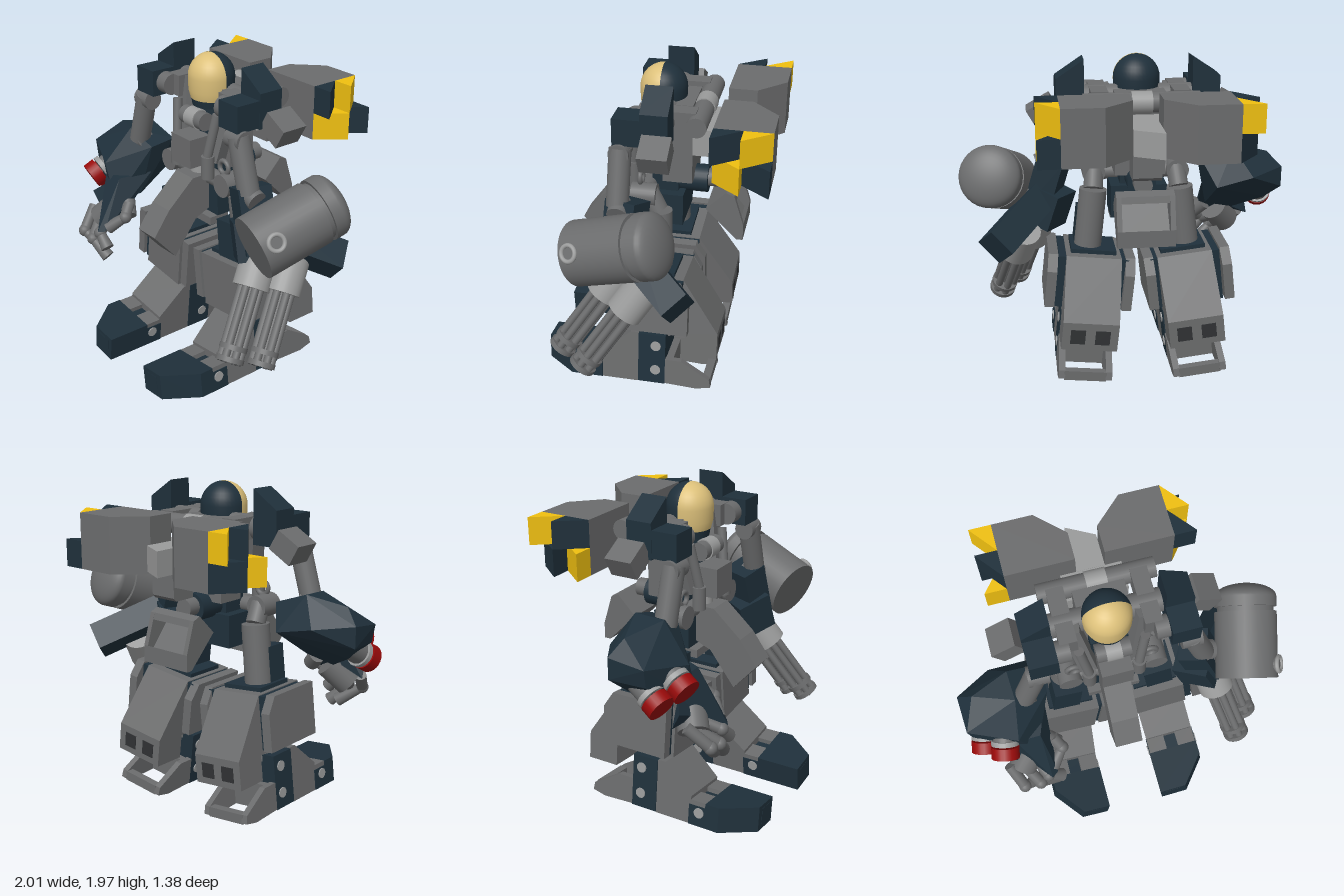
import * as THREE from 'three';
import { ConvexGeometry } from 'three/addons/geometries/ConvexGeometry.js';

const mat = (color) => new THREE.MeshStandardMaterial({ color });
const GREY = mat(0x6b6c6d), LIGHT = mat(0x9a9b9b), NAVY = mat(0x1f303b), TAN = mat(0xdcc07a);
const YELLOW = mat(0xf0c010), RED = mat(0x980a0a), DARK = mat(0x303234);
const V = (a) => new THREE.Vector3(...a);
const UP = new THREE.Vector3(0, 1, 0);
const C = -0.06; // middle plane of the body

function add(parent, name, material, geo) {
  const m = new THREE.Mesh(geo, material);
  m.name = name;
  parent.add(m);
  return m;
}
function group(parent, name) {
  const g = new THREE.Group();
  g.name = name;
  parent.add(g);
  return g;
}
function box(parent, name, material, pos, size, rot = [0, 0, 0]) {
  const m = add(parent, name, material, new THREE.BoxGeometry(...size));
  m.position.set(...pos);
  m.rotation.set(...rot);
  return m;
}
// Round bar between two points
function rod(parent, name, material, a, b, r, r2 = r, sides = 24) {
  const d = V(b).sub(V(a));
  const m = add(parent, name, material, new THREE.CylinderGeometry(r2, r, d.length(), sides));
  m.position.copy(V(a)).addScaledVector(d, 0.5);
  m.quaternion.setFromUnitVectors(UP, d.normalize());
  return m;
}
// Box whose long side runs from a to b
function beam(parent, name, material, a, b, w, d) {
  const m = rod(parent, name, material, a, b, 1);
  m.geometry = new THREE.BoxGeometry(w, V(a).distanceTo(V(b)), d);
  return m;
}
// Group whose +y runs from a towards b
function axisGroup(parent, name, a, b) {
  const g = group(parent, name);
  g.position.set(...a);
  g.quaternion.setFromUnitVectors(UP, V(b).sub(V(a)).normalize());
  return g;
}
const extrude = (pts, depth) =>
  new THREE.ExtrudeGeometry(new THREE.Shape(pts.map((p) => new THREE.Vector2(...p))), { depth, bevelEnabled: false });
// Prisms: side outline (z,y) along x, plan outline (x,z) along y, front outline (x,y) along z
const sidePrism = (p, n, m, pts, x0, x1) =>
  add(p, n, m, extrude(pts, Math.abs(x1 - x0)).rotateY(-Math.PI / 2).translate(Math.max(x0, x1), 0, 0));
const planPrism = (p, n, m, pts, y0, y1) =>
  add(p, n, m, extrude(pts, y1 - y0).rotateX(Math.PI / 2).translate(0, y1, 0));
const frontPrism = (p, n, m, pts, z0, z1) => add(p, n, m, extrude(pts, z1 - z0).translate(0, 0, z0));

function buildLeg(root, s) {
  const g = group(root, s > 0 ? 'leftLeg' : 'rightLeg');
  g.position.set(C + s * 0.36, 0.02, 0);
  g.rotation.z = s * 0.11;
  // Foot
  planPrism(g, 'toe', NAVY, [[-0.165, 0.41], [-0.165, 0.69], [0.01, 0.69], [0.165, 0.5], [0.165, 0.41]].map(([u, z]) => [s * u, z]), 0, 0.16);
  box(g, 'toeHeel', NAVY, [0, 0.065, 0.355], [0.33, 0.13, 0.11]);
  for (const k of [-1, 1]) box(g, 'toeHinge', GREY, [k * 0.1, 0.13, 0.355], [0.12, 0.06, 0.11]);
  box(g, 'toeSocket', NAVY, [-s * 0.08, 0.085, 0.687], [0.1, 0.1, 0.01]);
  sidePrism(g, 'instep', GREY, [[0.31, 0], [0.31, 0.18], [0.12, 0.35], [0.07, 0.35], [0.07, 0]], -0.16, 0.16);
  box(g, 'ankle', NAVY, [0, 0.175, -0.015], [0.33, 0.34, 0.17]);
  for (const [y, z] of [[0.09, 0.37], [0.1, -0.04], [0.27, -0.04]])
    rod(g, 'anklePin', LIGHT, [-0.172, y, z], [0.172, y, z], 0.032);
  for (const k of [-1, 1])
    sidePrism(g, 'heelRail', GREY, [[-0.1, 0.01], [-0.1, 0.18], [-0.2, 0.18], [-0.38, 0.07], [-0.39, 0.02], [-0.3, 0]], k * 0.125, k * 0.165);
  box(g, 'heelBar', GREY, [0, 0.04, -0.36], [0.26, 0.06, 0.05]);
  box(g, 'heelRoot', GREY, [0, 0.09, -0.12], [0.26, 0.16, 0.05]);
  // Shin
  sidePrism(g, 'shin', GREY, [[0.18, 0.4], [0.18, 0.75], [-0.2, 0.75], [-0.42, 0.41], [-0.42, 0.235], [-0.22, 0.235], [-0.22, 0.39]], -0.17, 0.17);
  box(g, 'shinCore', NAVY, [0, 0.58, -0.02], [0.43, 0.33, 0.36]);
  for (const k of [-1, 1]) {
    const outer = k === s ? 0.28 : 0.255;
    sidePrism(g, 'shinPanel', GREY, [[0.18, 0.43], [0.18, 0.755], [-0.19, 0.755], [-0.25, 0.66], [-0.25, 0.43]], k * (outer - 0.06), k * outer);
    box(g, 'calfSocket', DARK, [k * 0.075, 0.32, -0.418], [0.09, 0.09, 0.01]);
  }
  rod(g, 'shinAxle', GREY, [0, 0.3, -0.04], [0, 0.45, -0.04], 0.1);
  // Thigh
  box(g, 'kneeCap', NAVY, [0, 0.755, -0.01], [0.28, 0.04, 0.26]);
  box(g, 'thigh', NAVY, [s * 0.03, 0.85, 0.06], [0.17, 0.28, 0.14]);
  rod(g, 'thighJoint', GREY, [s * 0.03, 0.76, -0.02], [s * 0.03, 1.13, -0.01], 0.085);
  rod(g, 'hipStem', GREY, [s * 0.03, 1.13, -0.01], [s * 0.03, 1.24, 0.05], 0.06);
}

function buildPelvis(root) {
  const g = group(root, 'pelvis');
  g.position.x = C;
  rod(g, 'hipBar', GREY, [-0.26, 1.23, 0.08], [0.26, 1.23, 0.08], 0.05);
  box(g, 'pelvisBlock', NAVY, [0, 1.1, -0.02], [0.34, 0.2, 0.24]);
  box(g, 'lowerPlate', GREY, [0, 0.97, 0.08], [0.32, 0.05, 0.14]);
  sidePrism(g, 'frontGuard', GREY, [[0.08, 1.25], [0.22, 1.25], [0.4, 1.09], [0.51, 0.94], [0.36, 0.77], [0.2, 0.98], [0.08, 1.03]], -0.083, 0.083);
  rod(g, 'rearSpool', NAVY, [0, 1.25, -0.1], [0, 1.25, -0.27], 0.085);
  rod(g, 'rearHinge', GREY, [0, 1.26, -0.27], [0, 1.26, -0.35], 0.055);
  // Open rear skirt
  for (const k of [-1, 1])
    sidePrism(g, 'skirtCheek', GREY, [[-0.4, 1.25], [-0.45, 1.23], [-0.51, 1.04], [-0.51, 0.94], [-0.47, 0.94], [-0.28, 1.13]], k * 0.14, k * 0.17);
  sidePrism(g, 'skirtTop', GREY, [[-0.4, 1.25], [-0.45, 1.23], [-0.46, 1.19], [-0.33, 1.18]], -0.14, 0.14);
  sidePrism(g, 'skirtEdge', GREY, [[-0.51, 1.04], [-0.51, 0.94], [-0.47, 0.94], [-0.45, 0.97]], -0.14, 0.14);
  sidePrism(g, 'skirtFloor', GREY, [[-0.28, 1.13], [-0.33, 1.18], [-0.48, 1.0], [-0.47, 0.94]], -0.14, 0.14);
  for (const s of [-1, 1]) {
    rod(g, 'hipBall', GREY, [s * 0.26, 1.24, 0], [s * 0.26, 1.24, 0.15], 0.07);
    const ring = add(g, 'hipRing', GREY, new THREE.TorusGeometry(0.04, 0.015, 10, 20));
    ring.position.set(s * 0.23, 1.34, 0.1);
  }
}

function buildTorso(root) {
  const g = group(root, 'torso');
  g.position.x = C;
  box(g, 'spine', GREY, [0, 1.53, -0.1], [0.3, 0.5, 0.18]);
  box(g, 'belly', NAVY, [0, 1.38, -0.02], [0.22, 0.38, 0.16]);
  box(g, 'chestPlate', GREY, [0, 1.41, 0.17], [0.185, 0.18, 0.15]);
  rod(g, 'chestRoller', LIGHT, [-0.045, 1.59, 0.13], [0.045, 1.59, 0.13], 0.062);
  rod(g, 'chestBar', GREY, [-0.1, 1.59, 0.13], [0.1, 1.59, 0.13], 0.055);
  rod(g, 'abdomen', LIGHT, [0, 1.2, 0.1], [0, 1.34, 0.1], 0.06);
  rod(g, 'backBar', GREY, [-0.34, 1.73, -0.24], [0.34, 1.73, -0.24], 0.06);
  rod(g, 'backCollar', LIGHT, [-0.06, 1.73, -0.24], [0.06, 1.73, -0.24], 0.066);
  rod(g, 'neck', NAVY, [0, 1.5, 0], [0, 1.68, 0], 0.1);
  for (const s of [-1, 1]) {
    beam(g, 'chestStrut', GREY, [s * 0.21, 1.78, 0.02], [s * 0.14, 1.36, 0.1], 0.08, 0.1);
    rod(g, 'chestPiston', GREY, [s * 0.15, 1.26, 0.16], [s * 0.15, 1.4, 0.16], 0.04);
    rod(g, 'chestPistonRod', GREY, [s * 0.15, 1.4, 0.16], [s * 0.19, 1.66, 0.12], 0.028);
    rod(g, 'shoulderAxle', GREY, [s * 0.12, 1.73, -0.04], [s * 0.36, 1.73, -0.04], 0.07);
    rod(g, 'shoulderDrum', GREY, [s * 0.24, 1.73, 0.12], [s * 0.33, 1.73, 0.12], 0.065);
    box(g, 'shoulderLink', GREY, [s * 0.24, 1.73, -0.06], [0.1, 0.13, 0.34]);
    // Shoulder armour
    frontPrism(g, 'shoulderGuard', NAVY, [[0.32, 1.64], [0.485, 1.64], [0.485, 1.85], [0.32, 1.96]].map(([x, y]) => [s * x, y]), -0.11, 0.05);
    box(g, 'shoulderFront', NAVY, [s * 0.4, 1.73, 0.13], [0.165, 0.16, 0.16]);
    box(g, 'shoulderTile', GREY, [s * 0.56, 1.655, -0.055], [0.16, 0.13, 0.17], [0, 0, -s * 0.52]);
    // Upper arm
    rod(g, 'armSocket', GREY, [s * 0.38, 1.6, 0.17], [s * 0.5, 1.6, 0.17], 0.06);
    rod(g, 'upperArm', GREY, [s * 0.445, 1.62, 0.17], [s * 0.54, 1.3, 0.17], 0.065);
    rod(g, 'elbow', GREY, [s * 0.49, 1.31, 0.16], [s * 0.6, 1.27, 0.16], 0.06);
  }
  // Helmet: visor in front, shell behind
  const dome = [new THREE.Vector2(0.125, 1.7), new THREE.Vector2(0.138, 1.75)];
  for (let i = 0; i <= 8; i++) {
    const a = (i / 8) * Math.PI / 2;
    dome.push(new THREE.Vector2(0.14 * Math.cos(a), 1.83 + 0.14 * Math.sin(a)));
  }
  add(g, 'visor', TAN, new THREE.LatheGeometry(dome, 18, -Math.PI / 2, Math.PI)).position.z = 0.01;
  add(g, 'helmetShell', NAVY, new THREE.LatheGeometry(dome, 18, Math.PI / 2, Math.PI)).position.z = 0.01;
  rod(g, 'helmetCollar', NAVY, [0, 1.655, 0.01], [0, 1.72, 0.01], 0.115, 0.125);
}

function buildThrusters(root) {
  const g = group(root, 'backpack');
  g.position.x = C;
  box(g, 'mount', LIGHT, [0, 1.565, -0.28], [0.36, 0.165, 0.17]);
  planPrism(g, 'tailFin', LIGHT, [[-0.083, -0.36], [0.083, -0.36], [0.083, -0.56], [-0.083, -0.65]], 1.5, 1.65);
  sidePrism(g, 'lowerVent', GREY, [[-0.36, 1.5], [-0.52, 1.5], [-0.52, 1.36], [-0.5, 1.34], [-0.36, 1.34]], -0.083, 0.083);
  for (const s of [-1, 1]) {
    const flip = (pts) => pts.map(([x, z]) => [s * x, z]);
    planPrism(g, 'pod', GREY, flip([[0.085, -0.36], [0.49, -0.36], [0.49, -0.69], [0.25, -0.69], [0.085, -0.53]]), 1.48, 1.81);
    // Chequered wedge fins, turned the other way on the other side
    for (const row of [0, 1]) for (const col of [0, 1]) {
      const z0 = -0.36 - col * 0.165, z1 = z0 - 0.165, y = 1.48 + row * 0.165;
      const tip = (row === 1) === (s < 0) ? z1 : z0;
      planPrism(g, 'podFin', row === col ? YELLOW : NAVY, flip([[0.49, z0], [0.49, z1], [0.62, tip]]), y, y + 0.165);
    }
  }
}

function buildCannonArm(root) {
  const g = group(root, 'rightForearm');
  const hull = [[-0.67, 1.37, 0.02], [-0.47, 1.3, 0], [-0.47, 1.28, 0.17], [-0.66, 1.36, 0.2], [-0.78, 1.2, -0.08], [-0.55, 1.15, -0.1],
    [-0.9, 1.32, 0.1], [-0.99, 1.23, 0.05], [-0.99, 1.1, 0.05], [-0.98, 1.2, 0.27], [-0.96, 1.09, 0.27], [-0.74, 1.0, 0.36],
    [-0.7, 1.15, 0.38], [-0.54, 0.95, 0.22], [-0.6, 0.92, 0.38], [-0.9, 1.01, 0.12], [-0.72, 0.91, 0.24]];
  add(g, 'forearmHull', NAVY, new ConvexGeometry(hull.map(V)));
  add(g, 'wristBlade', NAVY, new ConvexGeometry([[-0.72, 1.08, 0.36], [-0.5, 1.1, 0.16], [-0.57, 1.08, 0.36],
    [-0.52, 0.77, 0.52], [-0.56, 0.76, 0.55], [-0.52, 0.85, 0.36], [-0.74, 0.9, 0.36]].map(V)));
  add(g, 'wristGuard', NAVY, new ConvexGeometry([[-0.74, 0.99, 0.34], [-0.6, 0.95, 0.3], [-0.85, 0.82, 0.36], [-0.84, 0.91, 0.4], [-0.7, 0.85, 0.42]].map(V)));
  // Twin cannon muzzles
  for (const [x, y, z] of [[-0.91, 0.97, 0.33], [-0.8, 1.04, 0.42]]) {
    const m = axisGroup(g, 'muzzle', [x + 0.04, y + 0.1, z - 0.17], [x, y, z]);
    rod(m, 'muzzleTube', GREY, [0, 0, 0], [0, 0.13, 0], 0.07);
    rod(m, 'muzzleCollar', LIGHT, [0, 0.1, 0], [0, 0.13, 0], 0.083);
    rod(m, 'muzzleTip', RED, [0, 0.14, 0], [0, 0.21, 0], 0.084);
  }
  // Hand
  rod(g, 'palm', GREY, [-0.62, 0.88, 0.34], [-0.72, 0.76, 0.42], 0.09);
  rod(g, 'thumbBase', GREY, [-0.55, 0.92, 0.32], [-0.48, 0.85, 0.36], 0.05);
  const fingers = [
    [[-0.8, 0.82, 0.42], [-0.74, 0.7, 0.54], [-0.6, 0.6, 0.48]],
    [[-0.72, 0.78, 0.42], [-0.64, 0.68, 0.54], [-0.53, 0.58, 0.5]],
    [[-0.64, 0.8, 0.4], [-0.58, 0.74, 0.52], [-0.5, 0.66, 0.52]],
    [[-0.5, 0.92, 0.34], [-0.46, 0.86, 0.4], [-0.54, 0.78, 0.48]]];
  for (const [a, b, c] of fingers) {
    rod(g, 'fingerBase', GREY, a, b, 0.035);
    add(g, 'knuckle', GREY, new THREE.SphereGeometry(0.04, 14, 10)).position.set(...b);
    rod(g, 'fingerTip', GREY, b, c, 0.03, 0.042);
  }
}

function buildGunArm(root) {
  const g = group(root, 'leftForearm');
  beam(g, 'forearm', NAVY, [0.43, 1.32, 0.12], [0.54, 0.95, 0.14], 0.17, 0.2);
  beam(g, 'forearmCuff', NAVY, [0.45, 1.12, 0.12], [0.52, 0.9, 0.14], 0.22, 0.24);
  beam(g, 'elbowBlock', NAVY, [0.53, 1.06, 0.1], [0.81, 0.875, -0.25], 0.18, 0.18);
  // Twin rotary barrels
  for (const [x, y, z] of [[0.69, 0.41, 0.48], [0.79, 0.37, 0.33]]) {
    const b = axisGroup(g, 'rotaryGun', [x - 0.15, y + 0.53, z - 0.36], [x, y, z]);
    rod(b, 'gunHousing', LIGHT, [0, 0, 0], [0, 0.22, 0], 0.11);
    rod(b, 'gunCore', GREY, [0, 0.22, 0], [0, 0.64, 0], 0.03);
    for (let i = 0; i < 6; i++) {
      const px = 0.056 * Math.cos(i * Math.PI / 3), pz = 0.056 * Math.sin(i * Math.PI / 3);
      rod(b, 'gunBarrel', GREY, [px, 0.2, pz], [px, 0.65, pz], 0.023, 0.023, 12);
      rod(b, 'gunBore', DARK, [px, 0.65, pz], [px, 0.667, pz], 0.014, 0.014, 10);
    }
    for (const t of [0.56, 0.63]) rod(b, 'gunFlange', GREY, [0, t, 0], [0, t + 0.03, 0], 0.083);
  }
  // Ammunition drum
  const d = axisGroup(g, 'ammoDrum', [0.72, 1.11, 0.34], [0.85, 1.31, -0.2]);
  rod(d, 'drumBody', GREY, [0, 0, 0], [0, 0.4, 0], 0.188, 0.188, 32);
  rod(d, 'drumNeck', GREY, [0, 0.4, 0], [0, 0.44, 0], 0.17, 0.17, 32);
  rod(d, 'drumCap', GREY, [0, 0.43, 0], [0, 0.49, 0], 0.188, 0.188, 32);
  const dome = add(d, 'drumDome', GREY, new THREE.SphereGeometry(0.188, 32, 10, 0, Math.PI * 2, 0, Math.PI / 2));
  dome.position.y = 0.49;
  dome.scale.y = 0.45;
  // Filler port with a raised rim, square to the drum wall
  const port = axisGroup(g, 'drumPort', [0.735, 1.135, 0.265], [1.585, 1.555, 0.625]);
  rod(port, 'portTube', GREY, [0, 0.12, 0], [0, 0.205, 0], 0.05);
  add(port, 'portRim', LIGHT, new THREE.TorusGeometry(0.045, 0.013, 10, 24).rotateX(Math.PI / 2)).position.y = 0.205;
  rod(g, 'drumMount', GREY, [0.52, 1.05, 0.13], [0.72, 1.16, 0.12], 0.07);
}

export function createModel() {
  const root = new THREE.Group();
  root.name = 'walkerRobot';
  for (const s of [-1, 1]) buildLeg(root, s);
  buildPelvis(root);
  buildTorso(root);
  buildThrusters(root);
  buildCannonArm(root);
  buildGunArm(root);
  return root;
}
